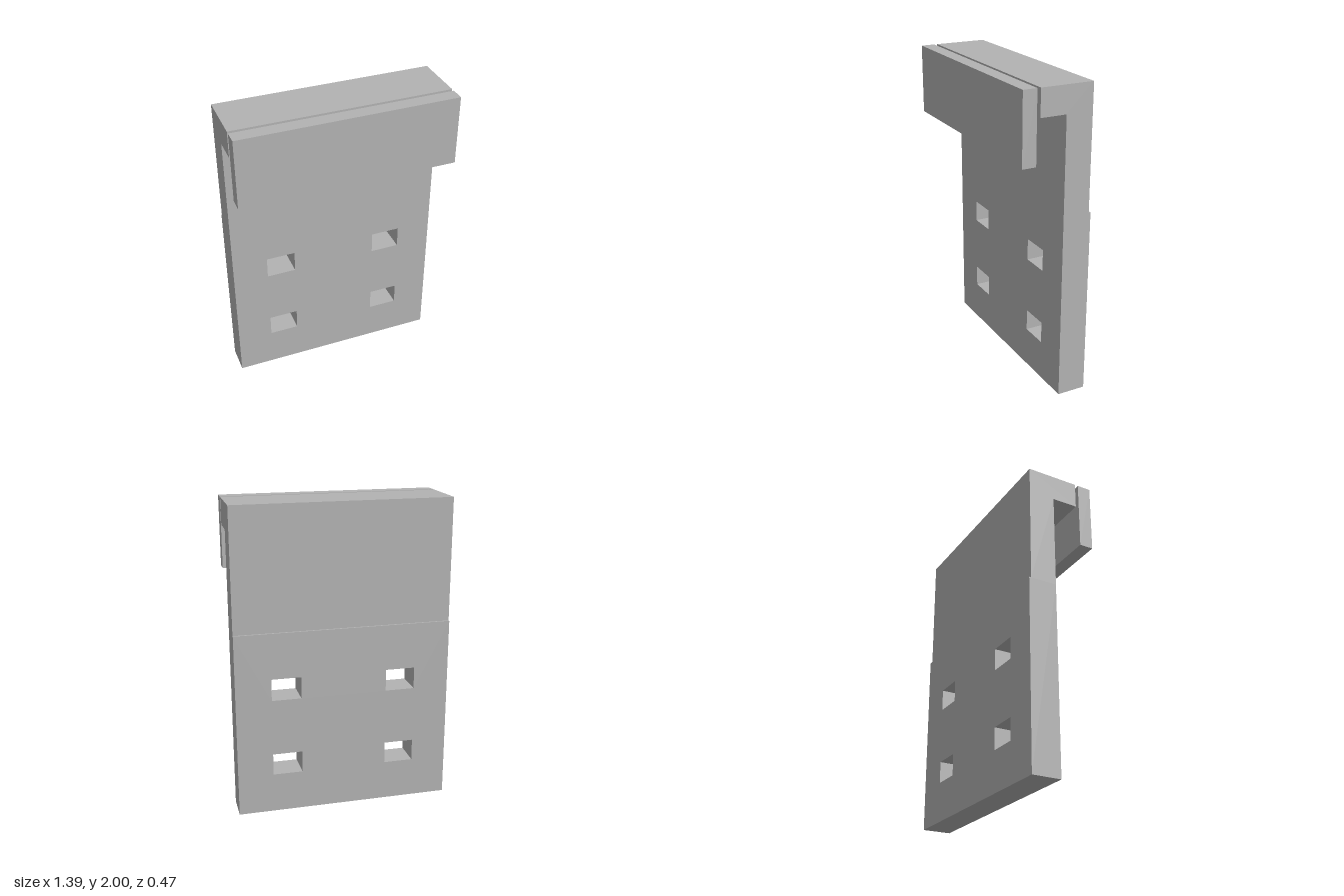
import * as THREE from 'three';

const W = 1.394;                            // overall width
const FRONT = -0.047;                       // front face of the panel
const BACK_UPPER = -0.22, BACK_LOWER = -0.233;
const STEP_Y = 1.21, TOP_Y = 2;

function polygon(points) {
  return new THREE.Shape(points.map(([x, y]) => new THREE.Vector2(x, y)));
}

function rectangle(x0, y0, x1, y1) {
  return [[x0, y0], [x1, y0], [x1, y1], [x0, y1]];
}

export function createModel() {
  const group = new THREE.Group();
  const grey = new THREE.MeshStandardMaterial({ color: 0xb2b2b2 });
  grey.name = 'plain grey';

  const add = (name, geometry) => {
    const mesh = new THREE.Mesh(geometry, grey);
    mesh.name = name;
    group.add(mesh);
    return mesh;
  };

  // Thicker lower panel with four rectangular through-holes
  const lower = polygon(rectangle(-W / 2, 0, W / 2, STEP_Y));
  for (const x of [-0.373, 0.373]) {
    for (const y of [0.331, 0.841]) {
      lower.holes.push(polygon(rectangle(x - 0.095, y - 0.071, x + 0.095, y + 0.071)));
    }
  }
  const lowerGeometry = new THREE.ExtrudeGeometry(lower, { depth: FRONT - BACK_LOWER, bevelEnabled: false });
  lowerGeometry.translate(0, 0, BACK_LOWER);
  add('lowerPanel', lowerGeometry);

  // Upper panel and forward hook: side profile drawn as (-z, y), swept across x
  const hook = polygon([
    [-FRONT, STEP_Y], [-BACK_UPPER, STEP_Y], [-BACK_UPPER, TOP_Y],
    [-0.121, TOP_Y], [-0.121, 1.83], [-FRONT, 1.83],
  ]);
  const hookGeometry = new THREE.ExtrudeGeometry(hook, { depth: W, bevelEnabled: false });
  hookGeometry.translate(0, 0, -W / 2).rotateY(Math.PI / 2);
  add('upperPanelAndHook', hookGeometry);

  // Separate front plate, held a narrow gap ahead of the hook
  const plate = add('frontPlate', new THREE.BoxGeometry(W, 0.45, 0.09));
  plate.position.set(0, 1.775, 0.188);

  return group;
}
